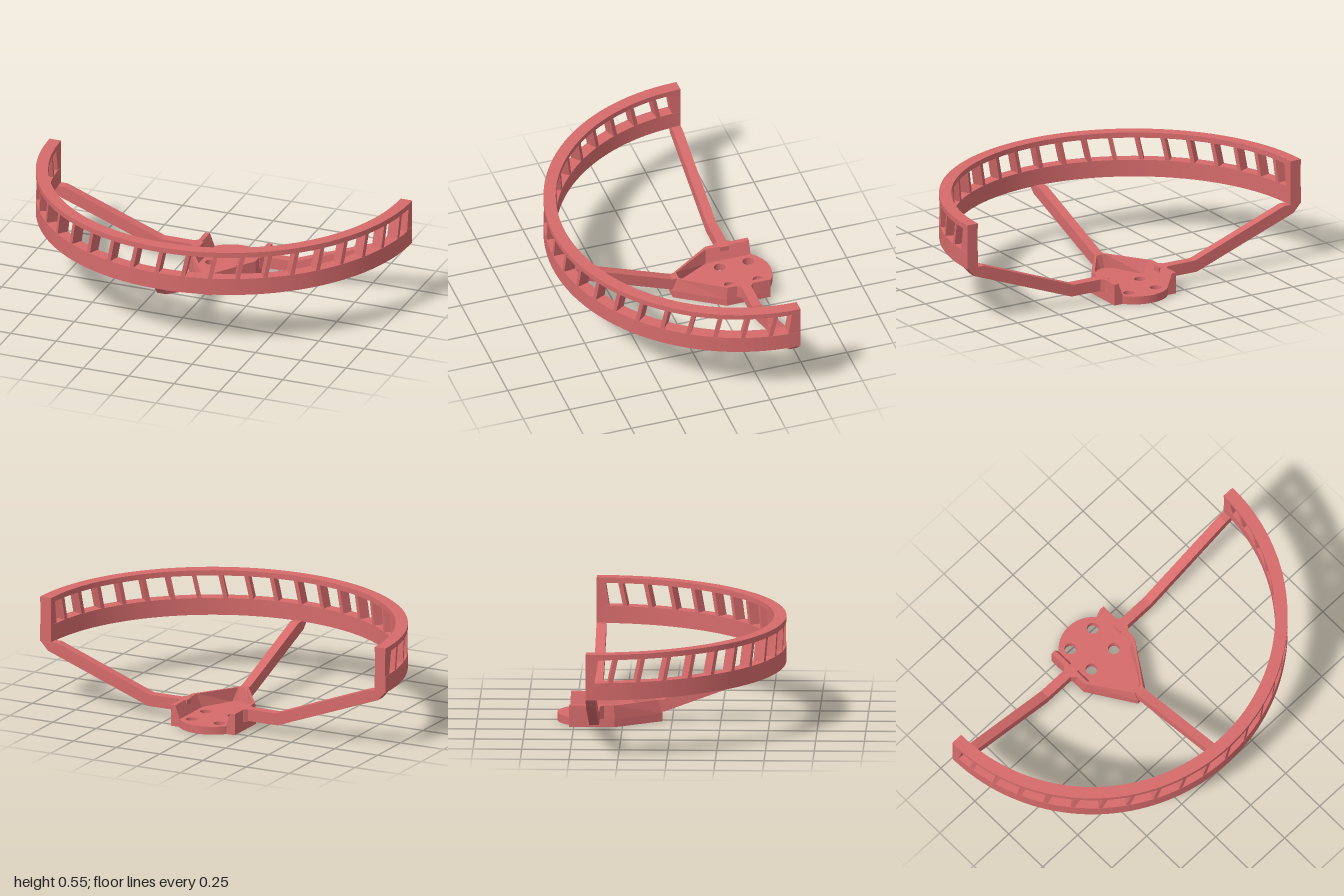
import * as THREE from 'three';
import { toCreasedNormals } from 'three/addons/utils/BufferGeometryUtils.js';

const CZ = -0.415;            // centre of the half ring
const R_OUT = 1, R_IN = 0.937;

const shapeOf = (pts) => new THREE.Shape(pts.map(([x, y]) => new THREE.Vector2(x, y)));
const extrude = (shape, depth, curveSegments = 24) =>
  new THREE.ExtrudeGeometry(shape, { depth, curveSegments, bevelEnabled: false });
// Plan shapes are drawn with y = -z and extruded upwards
const plan = (shape, y, height, segments) =>
  extrude(shape, height, segments).rotateX(-Math.PI / 2).translate(0, y, 0);

export function createModel() {
  const red = new THREE.MeshStandardMaterial({ color: 0xd66b6b });
  red.name = 'coral red';
  const model = new THREE.Group();
  const add = (name, geometry, parent = model) => {
    const mesh = new THREE.Mesh(geometry, red);
    mesh.name = name;
    parent.add(mesh);
    return mesh;
  };

  // Half-ring bands
  const band = (name, y, height) => {
    const s = new THREE.Shape();
    s.absarc(0, -CZ, R_OUT, Math.PI, Math.PI * 2, false);
    s.absarc(0, -CZ, R_IN, Math.PI * 2, Math.PI, true);
    s.closePath();
    add(name, toCreasedNormals(plan(s, y, height, 80), 0.5));
  };
  band('lowerBand', 0.31, 0.09);
  band('upperRim', 0.52, 0.028);

  // Leaning slats between the bands, and a solid post at each end
  const slats = new THREE.Group();
  slats.name = 'slats';
  slats.position.z = CZ;
  model.add(slats);
  const slat = (name, angle, b0, b1, t0, t1) => {
    const s = shapeOf([[b0, 0.398], [b1, 0.398], [t1, 0.522], [t0, 0.522]]);
    const mesh = add(name, extrude(s, R_OUT - R_IN - 0.003).translate(0, 0, R_IN + 0.001), slats);
    mesh.rotation.y = angle;
  };
  const step = Math.PI / 22;
  for (let k = -10; k <= 10; k++) slat('slat', k * step, -0.025, -0.003, 0.002, 0.024);
  slat('endPost', Math.PI / 2, -0.065, 0, -0.045, 0);
  slat('endPost', -Math.PI / 2, 0, 0.045, 0, 0.065);

  // Three bent arms from the hub to the ring
  const arm = (name, start, z, turn) => {
    const s = shapeOf([[start, 0.05], [0.375, 0.05], [0.955, 0.265], [0.998, 0.312],
      [0.9, 0.312], [0.365, 0.112], [start, 0.112]]);
    const mesh = add(name, extrude(s, 0.05).translate(0, 0, -0.025));
    mesh.position.z = z;
    mesh.rotation.y = turn;
  };
  arm('leftArm', 0.15, -0.39, 0);
  arm('rightArm', 0.15, -0.39, Math.PI);
  arm('frontArm', 0.33, CZ, -Math.PI / 2);

  // Hub floor with a rounded back and four bolt holes
  const floor = new THREE.Shape();
  const a = Math.acos(0.14 / 0.178);
  floor.moveTo(-0.14, 0.28);
  floor.lineTo(-0.04, 0.09);
  floor.lineTo(0.04, 0.09);
  floor.lineTo(0.14, 0.28);
  floor.absarc(0, 0.41, 0.178, a, Math.PI - a, false);
  floor.closePath();
  for (const x of [-0.08, 0.08]) for (const y of [0.34, 0.495]) {
    const hole = new THREE.Path();
    hole.absarc(x, y, 0.03, 0, Math.PI * 2, true);
    floor.holes.push(hole);
  }
  add('hubFloor', toCreasedNormals(plan(floor, 0, 0.042, 32), 0.5));

  // Hub wall: a section with a sloped inner face, swept left, front, right
  const half = [
    // base, outer shoulder, outer top, inner top, inner bottom, as [x, z]
    [[0.185, -0.525], [0.185, -0.525], [0.185, -0.525], [0.16, -0.525], [0.133, -0.525]],
    [[0.185, -0.29], [0.185, -0.29], [0.182, -0.295], [0.16, -0.29], [0.133, -0.28]],
    [[0.03, -0.05], [0.03, -0.05], [0.03, -0.075], [0.025, -0.085], [0.045, -0.115]],
    [[0.012, -0.05], [0.012, -0.05], [0.012, -0.075], [0.01, -0.085], [0.012, -0.1]],
  ];
  const heights = [0, 0.042, 0.112, 0.112, 0.04];
  const mirrored = half.map((sec) => sec.map(([x, z]) => [-x, z])).reverse();
  const rings = [...half, ...mirrored].map((sec) => {
    const pts = sec.map(([x, z], i) => [x, heights[i], z]);
    pts.push([pts[4][0], 0, pts[4][2]]);
    return pts;
  });
  const pos = [];
  const tri = (p, q, r) => pos.push(...p, ...q, ...r);
  for (let i = 0; i < rings.length - 1; i++) for (let j = 0; j < 6; j++) {
    const k = (j + 1) % 6, A = rings[i], B = rings[i + 1];
    tri(A[j], B[k], A[k]);
    tri(A[j], B[j], B[k]);
  }
  // Fan caps on the two open ends
  const first = rings[0], last = rings[rings.length - 1];
  for (let j = 1; j < 5; j++) {
    tri(first[0], first[j], first[j + 1]);
    tri(last[0], last[j + 1], last[j]);
  }
  const wall = new THREE.BufferGeometry();
  wall.setAttribute('position', new THREE.Float32BufferAttribute(pos, 3));
  // Orient outward whichever way the loop was wound
  wall.computeVertexNormals();
  const n = wall.attributes.normal, p = wall.attributes.position;
  let volume = 0;
  for (let i = 0; i < p.count; i += 3) {
    const v = [0, 1, 2].map((o) => new THREE.Vector3().fromBufferAttribute(p, i + o));
    volume += v[0].dot(v[1].clone().cross(v[2]));
  }
  if (volume < 0) {
    for (let i = 0; i < p.count; i += 3) {
      const b = new THREE.Vector3().fromBufferAttribute(p, i + 1);
      p.setXYZ(i + 1, p.getX(i + 2), p.getY(i + 2), p.getZ(i + 2));
      p.setXYZ(i + 2, b.x, b.y, b.z);
    }
    n.needsUpdate = true;
    wall.computeVertexNormals();
  }
  add('hubWall', wall);

  // Small flared collars where the side arms meet the hub
  for (const side of [1, -1]) {
    const pts = [[0.17, 0.345], [0.185, 0.345], [0.203, 0.365], [0.203, 0.415], [0.185, 0.432], [0.17, 0.432]];
    add('armCollar', plan(shapeOf(pts.map(([x, y]) => [x * side, y])), 0.045, 0.067));
  }
  return model;
}
